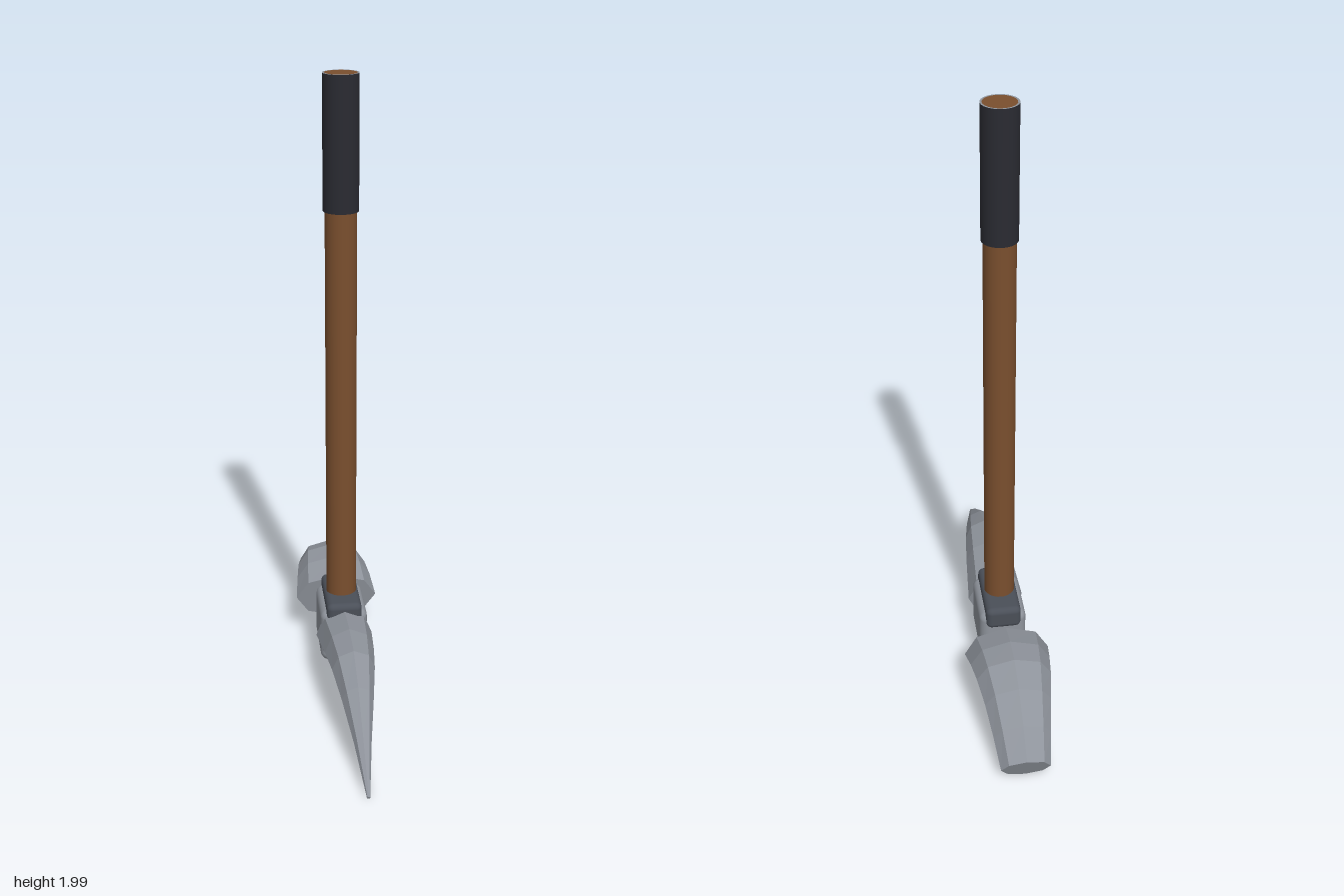
import * as THREE from 'three';
import { RoundedBoxGeometry } from 'three/addons/geometries/RoundedBoxGeometry.js';

const material = (name, color) => {
  const m = new THREE.MeshStandardMaterial({ color });
  m.name = name;
  return m;
};

// Faceted octagonal horn. Each section is [z, y, radius]; widthScale flattens it,
// and the sections tilt evenly from startTilt to endTilt (degrees, rising outward).
function hornGeometry(sections, widthScale, startTilt, endTilt) {
  const sides = 8;
  const dir = Math.sign(sections.at(-1)[0] - sections[0][0]);
  const rings = sections.map(([z, y, r], i) => {
    const tilt = THREE.MathUtils.degToRad(
      THREE.MathUtils.lerp(startTilt, endTilt, i / (sections.length - 1)));
    return Array.from({ length: sides }, (_, k) => {
      const a = (k / sides) * Math.PI * 2;
      const up = Math.cos(a) * r;
      return new THREE.Vector3(
        Math.sin(a) * r * widthScale * dir,
        y + up * Math.cos(tilt),
        z - dir * up * Math.sin(tilt));
    });
  });
  const points = [];
  const first = rings[0], last = rings.at(-1);
  for (let k = 0; k < sides; k++) {
    const n = (k + 1) % sides;
    for (let i = 0; i < rings.length - 1; i++) {
      const a = rings[i][k], b = rings[i][n], c = rings[i + 1][n], d = rings[i + 1][k];
      points.push(a, d, b, b, d, c);
    }
    // end caps
    if (k > 0 && k < sides - 1) {
      points.push(first[0], first[k], first[n]);
      points.push(last[0], last[n], last[k]);
    }
  }
  // keep every face turned outward
  for (let i = 0; i < points.length; i += 3) {
    [points[i + 1], points[i + 2]] = [points[i + 2], points[i + 1]];
  }
  const g = new THREE.BufferGeometry().setFromPoints(points);
  const p = g.attributes.position;
  let volume = 0;
  const [a, b, c] = [0, 1, 2].map(() => new THREE.Vector3());
  for (let i = 0; i < p.count; i += 3) {
    a.fromBufferAttribute(p, i);
    b.fromBufferAttribute(p, i + 1);
    c.fromBufferAttribute(p, i + 2);
    volume += a.dot(b.cross(c));
  }
  if (volume < 0) {
    for (let i = 0; i < p.count; i += 3) {
      b.fromBufferAttribute(p, i + 1);
      c.fromBufferAttribute(p, i + 2);
      p.setXYZ(i + 1, c.x, c.y, c.z);
      p.setXYZ(i + 2, b.x, b.y, b.z);
    }
  }
  g.computeVertexNormals();
  return g;
}

export function createModel() {
  const model = new THREE.Group();
  model.name = 'pickaxe';
  const steel = material('steel', 0x8f949c);
  const darkSteel = material('dark steel', 0x4a4f58);
  const wood = material('wood', 0x7a4f2e);
  const rubber = material('black rubber', 0x2a2b32);
  const shaftZ = -0.08;

  const add = (name, geometry, mat, x = 0, y = 0, z = 0) => {
    const mesh = new THREE.Mesh(geometry, mat);
    mesh.name = name;
    mesh.position.set(x, y, z);
    model.add(mesh);
    return mesh;
  };

  // Handle
  add('handle', new THREE.CylinderGeometry(0.05, 0.05, 1.9, 24), wood, 0, 1.05, shaftZ);

  // Grip sleeve with its end rings
  add('grip', new THREE.CylinderGeometry(0.056, 0.056, 0.415, 24, 1, true), rubber, 0, 1.7925, shaftZ);
  add('gripTopRing', new THREE.RingGeometry(0.05, 0.056, 24), steel, 0, 2, shaftZ).rotation.x = -Math.PI / 2;
  add('gripBottomRing', new THREE.RingGeometry(0.05, 0.056, 24), rubber, 0, 1.585, shaftZ).rotation.x = Math.PI / 2;

  // Head socket and collar
  add('socket', new RoundedBoxGeometry(0.156, 0.19, 0.218, 3, 0.03), steel, 0, 0.155, -0.079);
  add('collar', new RoundedBoxGeometry(0.117, 0.08, 0.237, 3, 0.02), darkSteel, 0, 0.24, -0.081);

  // Pointed pick at the front
  add('pick', hornGeometry([
    [0.012, 0.16, 0.093],
    [0.178, 0.192, 0.08],
    [0.295, 0.2, 0.068],
    [0.415, 0.167, 0.05],
    [0.55, 0.1, 0.027],
    [0.698, 0.011, 0.005],
  ], 1, 11, -30), steel);

  // Broad blade at the back
  add('blade', hornGeometry([
    [-0.254, 0.155, 0.087],
    [-0.34, 0.187, 0.081],
    [-0.42, 0.197, 0.075],
    [-0.51, 0.173, 0.066],
    [-0.6, 0.118, 0.057],
    [-0.677, 0.053, 0.049],
  ], 1.6, 9, -22), steel);

  return model;
}
